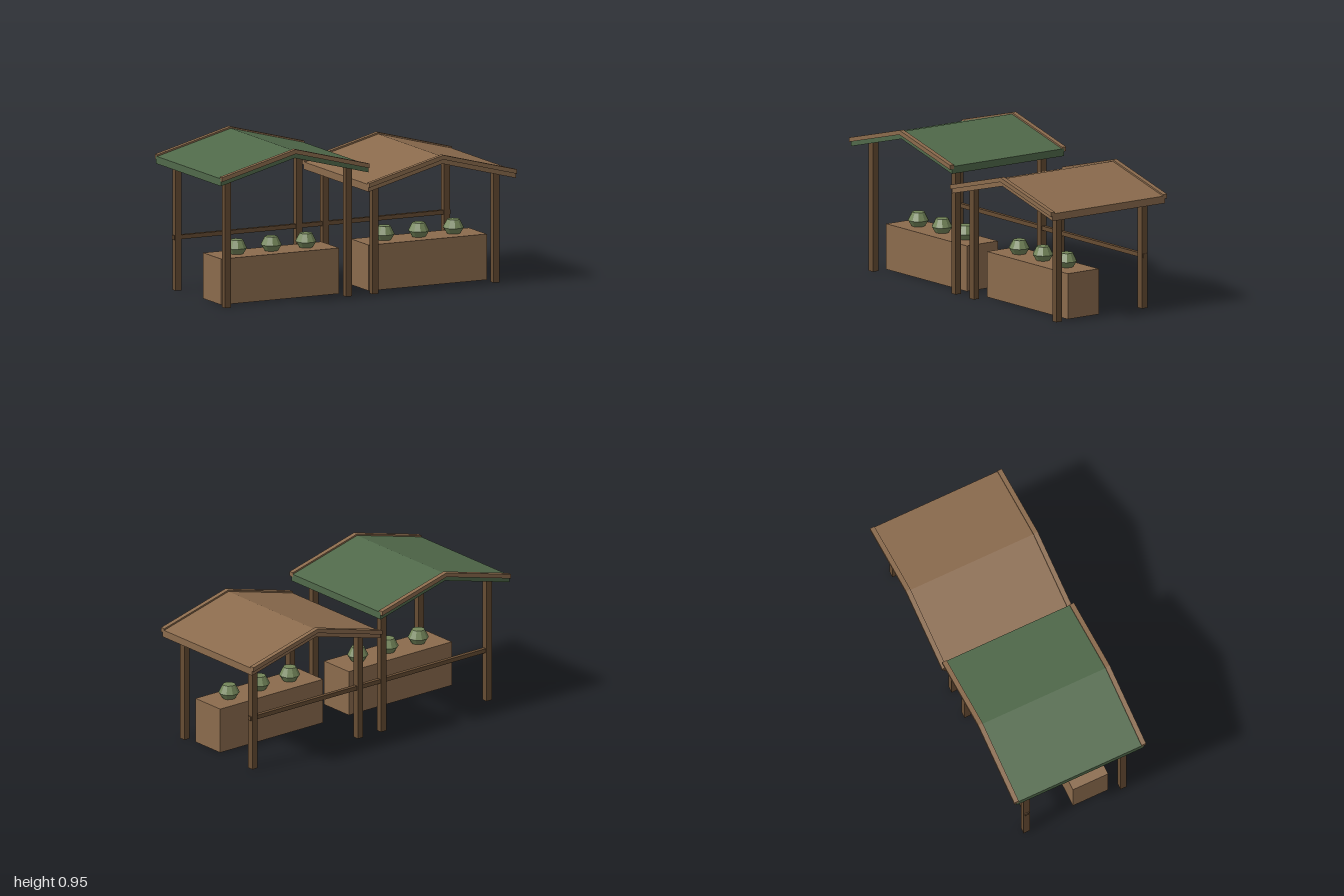
import * as THREE from 'three';

const material = (name, color) => {
  const m = new THREE.MeshStandardMaterial({ color });
  m.name = name;
  return m;
};

export function createModel() {
  const wood = material('light wood', 0x8b6b4d);
  const darkWood = material('dark wood', 0x664c33);
  const green = material('green roof', 0x50694a);
  const melonGreen = material('melon green', 0x74865a);
  melonGreen.flatShading = true;

  const model = new THREE.Group();
  model.name = 'marketStalls';

  const add = (parent, name, geometry, mat, x = 0, y = 0, z = 0) => {
    const mesh = new THREE.Mesh(geometry, mat);
    mesh.name = name;
    mesh.position.set(x, y, z);
    parent.add(mesh);
    return mesh;
  };

  // Gabled sheet with vertical eave ends, centred on z; y is measured at the eave underside
  const gable = (thickness, depth) => {
    const half = 0.5, rise = 0.13;
    const shape = new THREE.Shape([
      [-half, 0], [0, rise], [half, 0],
      [half, thickness], [0, rise + thickness], [-half, thickness],
    ].map(([x, y]) => new THREE.Vector2(x, y)));
    return new THREE.ExtrudeGeometry(shape, { depth, bevelEnabled: false })
      .translate(0, 0, -depth / 2);
  };
  const roofGeometry = gable(0.045, 0.85);
  const trimGeometry = gable(0.027, 0.03);

  // Faceted melon with flat ends
  const melonGeometry = new THREE.LatheGeometry([
    [0, 0], [0.041, 0], [0.064, 0.036], [0.039, 0.086], [0, 0.086],
  ].map(([x, y]) => new THREE.Vector2(x, y)), 10, Math.PI / 2);

  const stall = (name, x, eave, roofMaterial) => {
    const g = new THREE.Group();
    g.name = name;
    g.position.x = x;
    model.add(g);

    // Roof and barge boards
    add(g, 'roof', roofGeometry, roofMaterial, 0, eave, 0);
    for (const s of [1, -1]) {
      add(g, s > 0 ? 'frontTrim' : 'backTrim', trimGeometry, wood, 0, eave + 0.028, s * 0.425);
    }

    // Corner posts, let into the roof
    const height = eave + 0.033;
    for (const sx of [1, -1]) for (const sz of [1, -1]) {
      const post = new THREE.BoxGeometry(0.041, height, 0.041);
      add(g, 'post', post, darkWood, sx * 0.41, height / 2, sz * 0.323);
    }

    // Counter and its melons
    add(g, 'counter', new THREE.BoxGeometry(0.8, 0.28, 0.235), wood, 0, 0.14, 0.1175);
    for (const mx of [-0.235, 0, 0.235]) {
      add(g, 'melon', melonGeometry, melonGreen, mx, 0.281, 0.1175);
    }
  };

  stall('greenRoofStall', -0.5, 0.765, green);
  stall('woodRoofStall', 0.5, 0.645, wood);

  // Rail joining the back posts
  add(model, 'backRail', new THREE.BoxGeometry(1.875, 0.026, 0.026), darkWood, 0, 0.324, -0.323);

  return model;
}
